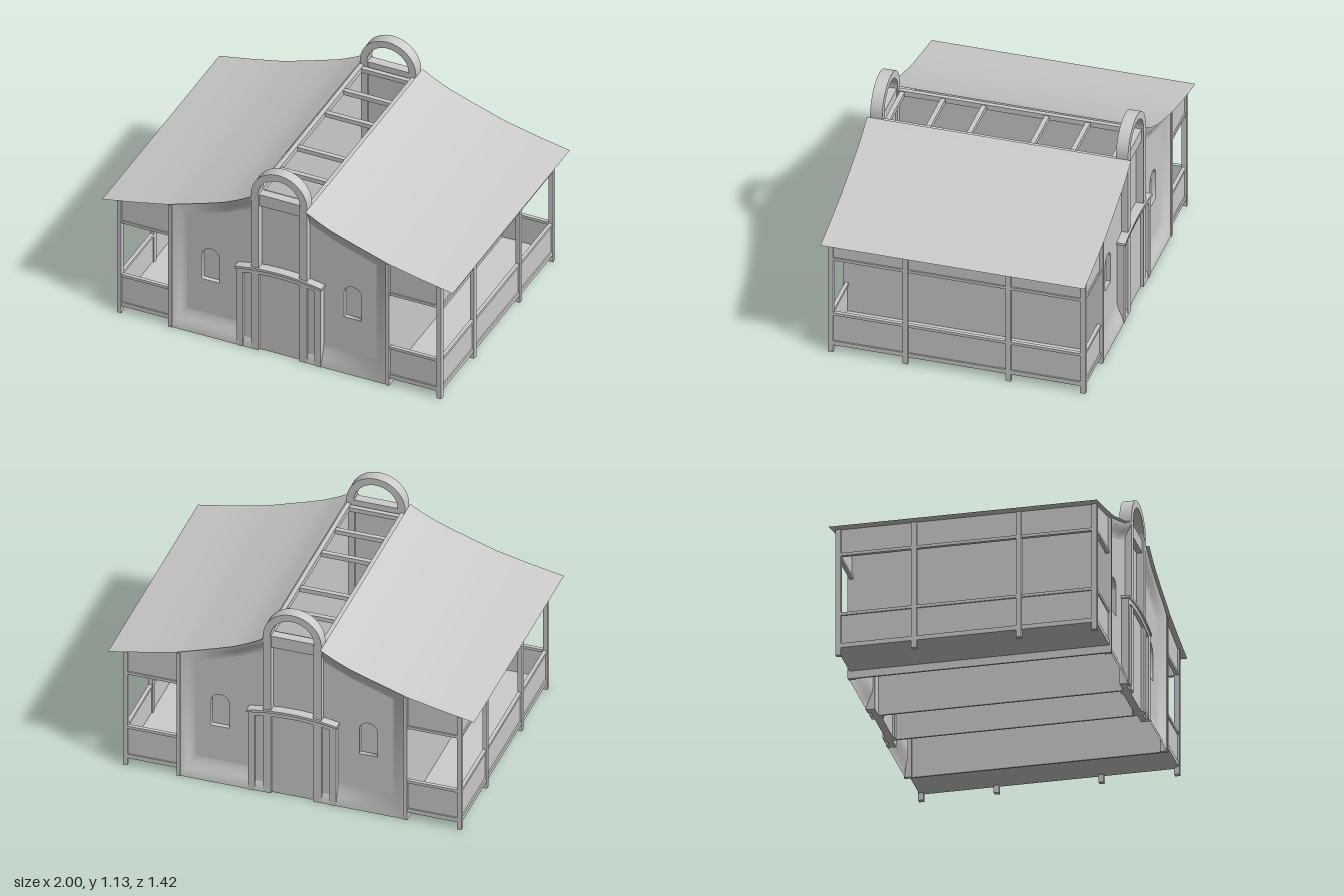
import * as THREE from 'three';

const mat = new THREE.MeshStandardMaterial({ color: 0xcccccc, side: THREE.DoubleSide });

function add(parent, name, geo, x = 0, y = 0, z = 0) {
  const m = new THREE.Mesh(geo, mat);
  m.name = name;
  m.position.set(x, y, z);
  parent.add(m);
  return m;
}

// Box given by its minimum and maximum on each axis
function block(parent, name, [x0, x1], [y0, y1], [z0, z1]) {
  return add(parent, name, new THREE.BoxGeometry(x1 - x0, y1 - y0, z1 - z0),
    (x0 + x1) / 2, (y0 + y1) / 2, (z0 + z1) / 2);
}

// Smooth sheet through rows of equally many points
function sheet(rows) {
  const n = rows[0].length, index = [];
  for (let i = 0; i < rows.length - 1; i++) {
    for (let j = 0; j < n - 1; j++) {
      const a = i * n + j, b = a + n;
      index.push(a, a + 1, b, b, a + 1, b + 1);
    }
  }
  const g = new THREE.BufferGeometry();
  g.setAttribute('position', new THREE.Float32BufferAttribute(rows.flat(2), 3));
  g.setIndex(index);
  g.computeVertexNormals();
  return g;
}

function polygon(points) {
  return new THREE.Shape(points.map(([x, y]) => new THREE.Vector2(x, y)));
}

function extrude(shape, depth) {
  return new THREE.ExtrudeGeometry(shape, { depth, bevelEnabled: false, curveSegments: 16 });
}

function windowPath(Type) {
  const p = new Type();
  p.moveTo(0.355, 0.33);
  p.lineTo(0.455, 0.33);
  p.lineTo(0.455, 0.48);
  p.absarc(0.405, 0.48, 0.05, 0, Math.PI, false);
  p.closePath();
  return p;
}

// Half of the end wall: coved border around a flat field with a window niche
function facadeWing() {
  const wing = new THREE.Group();
  wing.name = 'facadeWing';
  const outer = [[0.16, 0], [0.615, 0], [0.615, 0.775], [0.31, 0.88], [0.16, 0.955]];
  const inner = [[0.16, 0.12], [0.54, 0.12], [0.54, 0.71], [0.31, 0.79], [0.16, 0.86]];
  const rows = [];
  for (let s = 0; s <= 6; s++) {
    const t = s / 6, z = 0.695 - 0.035 * (t * t * (3 - 2 * t));
    rows.push(outer.map(([x, y], i) => [
      x + (inner[i][0] - x) * t, y + (inner[i][1] - y) * t, z]));
  }
  add(wing, 'covedWall', sheet(rows));
  const field = polygon(inner);
  field.holes.push(windowPath(THREE.Path));
  add(wing, 'wallField', new THREE.ShapeGeometry(field, 16), 0, 0, 0.66);
  // Niche sides and back
  const edge = windowPath(THREE.Path).getPoints(16);
  add(wing, 'windowReveal', sheet([0.66, 0.635].map(z => edge.map(p => [p.x, p.y, z]))));
  add(wing, 'windowBack', new THREE.ShapeGeometry(windowPath(THREE.Shape), 16), 0, 0, 0.635);
  block(wing, 'cornerPilaster', [0.61, 0.63], [0, 0.765], [0.66, 0.7]);
  block(wing, 'towerPilaster', [0.115, 0.16], [0, 0.975], [0.63, 0.695]);
  block(wing, 'doorJamb', [0.205, 0.24], [0, 0.485], [0.65, 0.698]);
  return wing;
}

// Shallow arch over the door, between two heights at the sides and centre
function doorArch(halfWidth, ySide, yMid, n = 12) {
  return Array.from({ length: n + 1 }, (_, i) => {
    const t = 1 - 2 * i / n;
    return [t * halfWidth, yMid - (yMid - ySide) * t * t];
  });
}

function endFacade() {
  const end = new THREE.Group();
  end.name = 'endFacade';
  const wing = facadeWing();
  const mirrored = wing.clone();
  mirrored.scale.x = -1;
  end.add(wing, mirrored);

  // Central bay and bell arch
  block(end, 'bayPanel', [-0.12, 0.12], [0, 0.94], [0.64, 0.655]);
  block(end, 'bayLintel', [-0.12, 0.12], [0.905, 0.975], [0.635, 0.685]);
  const ring = new THREE.Shape();
  ring.absarc(0, 0, 0.16, 0, Math.PI, false);
  ring.lineTo(-0.12, 0);
  ring.absarc(0, 0, 0.12, Math.PI, 0, true);
  ring.closePath();
  add(end, 'bellArch', extrude(ring, 0.065), 0, 0.975, 0.63);

  // Door with arched head and projecting cap
  add(end, 'door', extrude(polygon([[-0.205, 0], [0.205, 0], ...doorArch(0.205, 0.465, 0.49)]), 0.03), 0, 0, 0.65);
  const band = (w, side, mid, thick) => polygon([
    ...doorArch(w, side + thick, mid + thick), ...doorArch(w, side, mid).reverse()]);
  add(end, 'doorHead', extrude(band(0.24, 0.46, 0.487, 0.025), 0.048), 0, 0, 0.65);
  add(end, 'doorCap', extrude(band(0.247, 0.485, 0.511, 0.014), 0.056), 0, 0, 0.65);
  return end;
}

function sideHalf() {
  const side = new THREE.Group();
  side.name = 'sideHalf';

  // Curved roof sheet
  const profile = [[0.16, 0.962], [0.235, 0.92], [0.31, 0.885], [0.42, 0.846],
    [0.53, 0.81], [0.63, 0.777], [0.81, 0.737], [1, 0.7]];
  add(side, 'roof', sheet([0.712, -0.712].map(z => profile.map(([x, y]) => [x, y, z]))));

  // Nave and outer walls
  block(side, 'outerWall', [0.62, 0.63], [0, 0.77], [-0.695, 0.695]);
  block(side, 'naveWall', [0.15, 0.16], [0, 0.95], [-0.65, 0.65]);
  block(side, 'skylightRail', [0.135, 0.16], [0.925, 0.955], [-0.63, 0.63]);

  // Porch floor, posts, rails and panels
  block(side, 'porchFloor', [0.63, 0.91], [0.042, 0.067], [-0.685, 0.685]);
  for (const z of [-0.68, -0.278, 0.278, 0.68]) {
    block(side, 'porchPost', [0.9, 0.925], [0, 0.714], [z - 0.014, z + 0.014]);
  }
  for (const [y0, y1] of [[0.042, 0.067], [0.226, 0.242], [0.565, 0.581]]) {
    block(side, 'sideRail', [0.902, 0.922], [y0, y1], [-0.68, 0.68]);
    for (const z of [-0.68, 0.68]) {
      block(side, 'endRail', [0.63, 0.905], [y0, y1], [z - 0.01, z + 0.01]);
    }
  }
  block(side, 'lowerSidePanel', [0.908, 0.914], [0.05, 0.235], [-0.68, 0.68]);
  block(side, 'upperSidePanel', [0.908, 0.914], [0.57, 0.716], [-0.68, 0.68]);
  for (const z of [-0.68, 0.68]) {
    block(side, 'lowerEndPanel', [0.63, 0.91], [0.05, 0.235], [z - 0.003, z + 0.003]);
    add(side, 'upperEndPanel', extrude(polygon(
      [[0.63, 0.57], [0.91, 0.57], [0.91, 0.716], [0.63, 0.774]]), 0.006), 0, 0, z - 0.003);
  }
  return side;
}

export function createModel() {
  const model = new THREE.Group();
  model.name = 'hall';
  for (const part of [endFacade(), sideHalf()]) {
    const opposite = part.clone();
    opposite.rotation.y = Math.PI;
    model.add(part, opposite);
  }
  // Beams across the open ridge
  for (const z of [-0.61, -0.39, -0.17, 0.17, 0.39, 0.61]) {
    block(model, 'ridgeBeam', [-0.16, 0.16], [0.925, 0.95], [z - 0.013, z + 0.013]);
  }
  return model;
}
